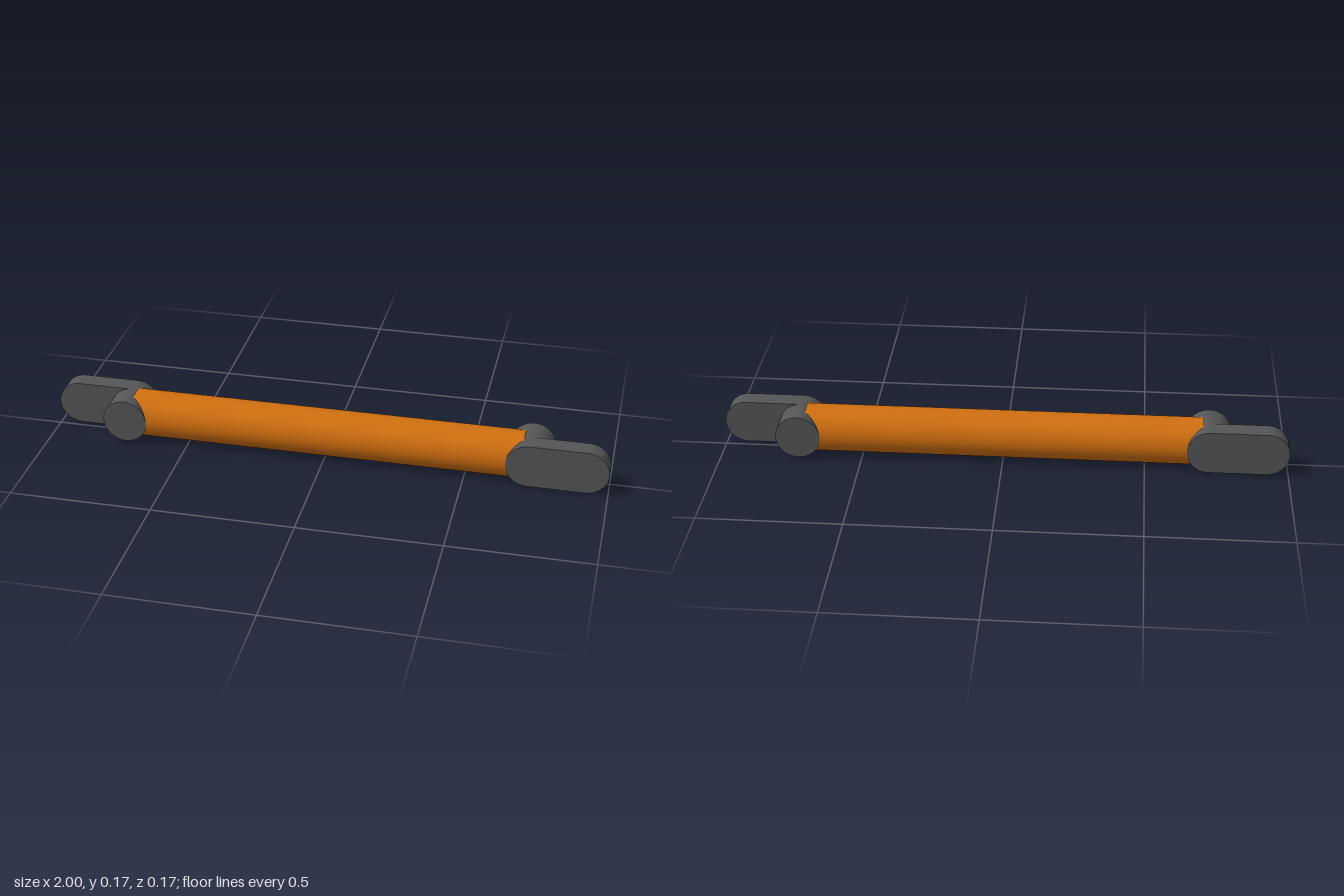
import * as THREE from 'three';

const R = 0.0835;      // bar radius and half depth
const HUB_R = 0.079;   // hub and tab radius
const HUB_X = 0.723;   // hub centre
const TAB_X = 0.921;   // centre of the tab's rounded tip
const SPLIT = 0.015;   // depth where the tab begins

const orange = new THREE.MeshStandardMaterial({ color: 0xd06f10 });
const grey = new THREE.MeshStandardMaterial({ color: 0x555657 });

function add(parent, name, geometry, material) {
  const mesh = new THREE.Mesh(geometry, material);
  mesh.name = name;
  parent.add(mesh);
  return mesh;
}

// One end joint on +x: a cross hub, with a round-ended tab on its front side
function createJoint(name) {
  const joint = new THREE.Group();
  joint.name = name;

  const hubDepth = R + SPLIT;
  const hub = add(joint, 'hub', new THREE.CylinderGeometry(HUB_R, HUB_R, hubDepth, 64), grey);
  hub.rotation.x = Math.PI / 2;
  hub.position.set(HUB_X, 0, SPLIT - hubDepth / 2);

  const outline = new THREE.Shape();
  outline.absarc(TAB_X, 0, HUB_R, -Math.PI / 2, Math.PI / 2, false);
  outline.absarc(HUB_X, 0, HUB_R, Math.PI / 2, Math.PI * 1.5, false);
  const tab = add(joint, 'tab', new THREE.ExtrudeGeometry(outline, {
    depth: R - SPLIT, bevelEnabled: false, curveSegments: 32,
  }), grey);
  tab.position.z = SPLIT;
  return joint;
}

export function createModel() {
  const model = new THREE.Group();
  model.name = 'linkRod';

  // Round bar whose ends run into the hubs
  const bar = add(model, 'bar', new THREE.CylinderGeometry(R, R, 1.4, 64), orange);
  bar.rotation.z = Math.PI / 2;
  bar.position.y = R;

  // The right joint is the left one turned half a turn about the vertical
  ['leftJoint', 'rightJoint'].forEach((name, i) => {
    const joint = createJoint(name);
    joint.position.y = R;
    joint.rotation.y = i * Math.PI;
    model.add(joint);
  });
  return model;
}
